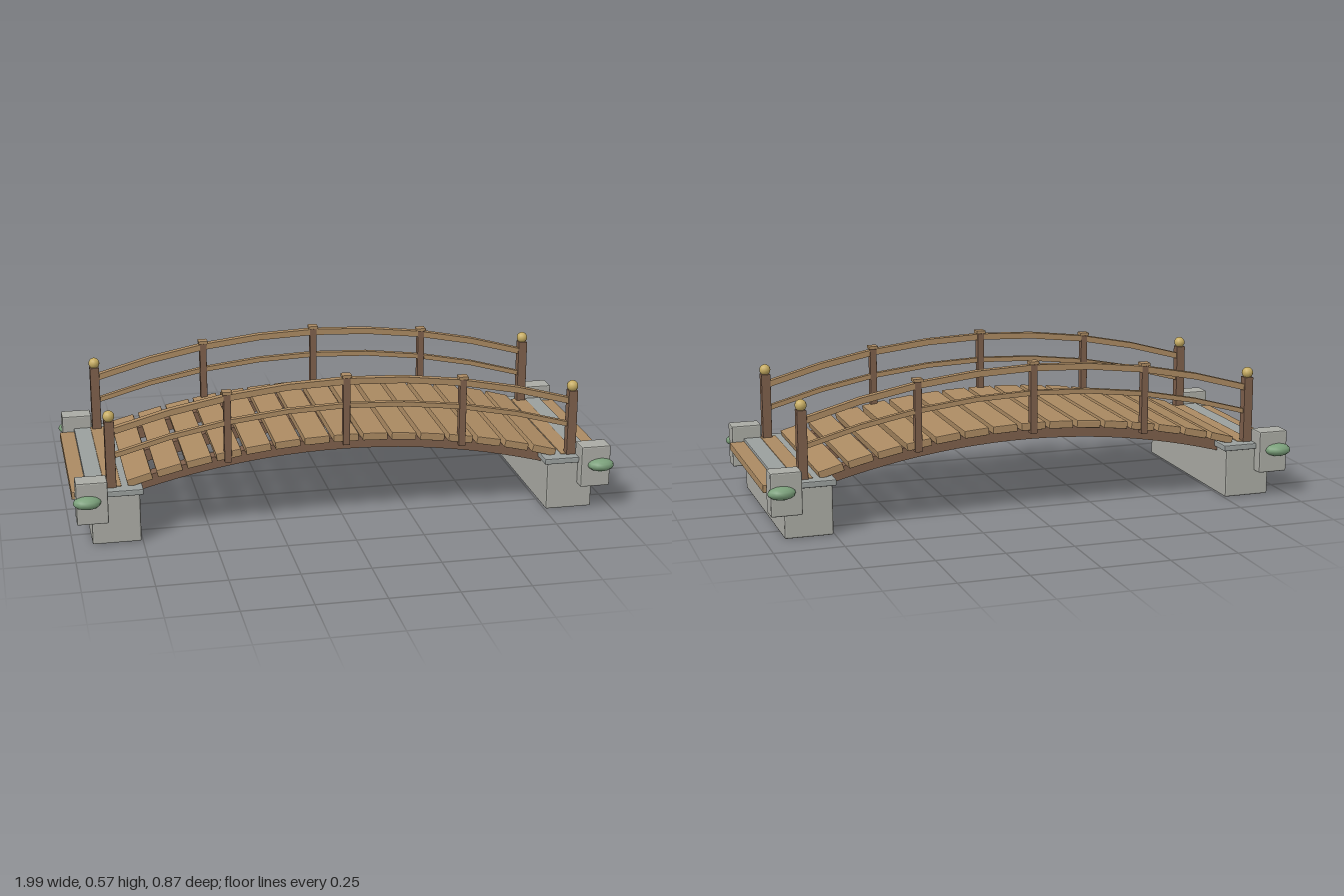
import * as THREE from 'three';
import { RoundedBoxGeometry } from 'three/addons/geometries/RoundedBoxGeometry.js';

const material = (name, color) => {
  const m = new THREE.MeshStandardMaterial({ color });
  m.name = name;
  return m;
};

// Height lost by the arch at distance x from the middle
const drop = (x) => 0.184 * x * x;

export function createModel() {
  const plankWood = material('plank wood', 0xab8a62);
  const darkWood = material('dark wood', 0x7d5f4b);
  const stone = material('stone', 0xaaaba4);
  const capStone = material('cap stone', 0x9a9f9d);
  const brass = material('brass', 0xc6ac62);
  const moss = material('moss', 0x7a9f7a);

  const bridge = new THREE.Group();
  bridge.name = 'footbridge';

  const add = (name, geometry, mat, x, y, z) => {
    const mesh = new THREE.Mesh(geometry, mat);
    mesh.name = name;
    mesh.position.set(x, y, z);
    bridge.add(mesh);
    return mesh;
  };

  // Box with small flat chamfers
  const block = (w, h, d, r) => {
    const g = new RoundedBoxGeometry(w, h, d, 1, r);
    g.computeVertexNormals();
    return g;
  };

  // Arched beam: top and bottom follow the arch, extruded along z
  const arch = (name, mat, halfSpan, steps, bottom, top, depth, z) => {
    const upper = [];
    const lower = [];
    for (let i = 0; i <= steps; i++) {
      const x = -halfSpan + (2 * halfSpan * i) / steps;
      lower.push(new THREE.Vector2(x, bottom - drop(x)));
      upper.unshift(new THREE.Vector2(x, top - drop(x)));
    }
    const shape = new THREE.Shape([...lower, ...upper]);
    const g = new THREE.ExtrudeGeometry(shape, { depth, bevelEnabled: false });
    g.translate(0, 0, -depth / 2);
    add(name, g, mat, 0, 0, z);
  };

  // Deck planks, tilted along the arch
  const pitch = 0.1073;
  for (let k = -7; k <= 7; k++) {
    const x = k * pitch;
    const plank = add('deckPlank', block(0.092, 0.028, 0.644, 0.003), plankWood, x, 0.326 - drop(x), 0);
    plank.rotation.z = -Math.atan(0.368 * x);
  }

  // Three stringers under the deck
  for (const z of [-0.25, 0, 0.25]) arch('stringer', darkWood, 0.82, 24, 0.268, 0.314, 0.05, z);

  for (const side of [-1, 1]) {
    // Stone abutment with its cap, the last plank and the approach board
    add('abutment', block(0.175, 0.19, 0.71, 0.006), stone, side * 0.8425, 0.095, 0);
    add('abutmentCap', block(0.197, 0.022, 0.732, 0.004), capStone, side * 0.8415, 0.192, 0);
    add('endPlank', block(0.06, 0.026, 0.644, 0.003), plankWood, side * 0.847, 0.193, 0);
    add('approachBoard', block(0.09, 0.028, 0.64, 0.003), plankWood, side * 0.95, 0.178, 0);

    for (const face of [-1, 1]) {
      // Corner piers with moss tufts
      add('cornerPier', block(0.112, 0.157, 0.076, 0.005), stone, side * 0.928, 0.1735, face * 0.36);
      const tuft = add('mossTuft', new THREE.SphereGeometry(1, 12, 8), moss, side * 0.946, 0.181, face * 0.4);
      tuft.scale.set(0.05, 0.024, 0.036);

      // End posts with ball finials
      add('endPost', block(0.035, 0.27, 0.035, 0.002), darkWood, side * 0.853, 0.315, face * 0.313);
      add('ballFinial', new THREE.SphereGeometry(0.021, 14, 10), brass, side * 0.853, 0.466, face * 0.313);
    }
  }

  // Railings: middle posts with caps, and two arched rails
  for (const face of [-1, 1]) {
    const z = face * 0.313;
    for (const x of [-0.433, 0, 0.433]) {
      const y = -drop(x);
      add('railPost', block(0.026, 0.255, 0.028, 0.002), darkWood, x, 0.4275 + y, z);
      add('postCap', block(0.036, 0.012, 0.036, 0.002), plankWood, x, 0.561 + y, z);
    }
    arch('topRail', plankWood, 0.853, 8, 0.531, 0.554, 0.026, z);
    arch('lowerRail', plankWood, 0.853, 8, 0.441, 0.459, 0.02, z);
  }

  return bridge;
}
